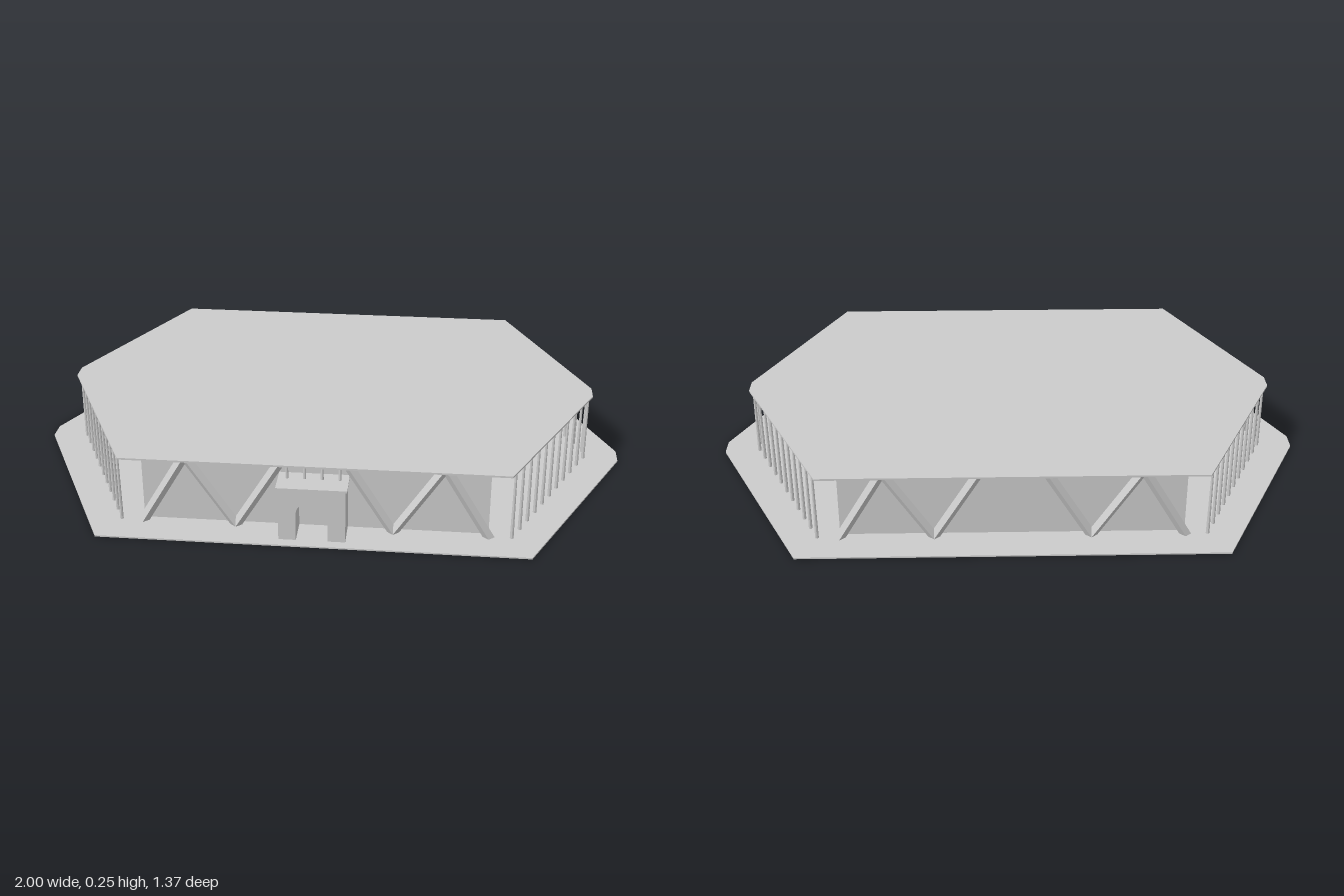
import * as THREE from 'three';

const material = new THREE.MeshStandardMaterial({ color: 0xcccccc, flatShading: true });

function createModel() {
  const model = new THREE.Group();

  const add = (name, geometry, x = 0, y = 0, z = 0, parent = model) => {
    const mesh = new THREE.Mesh(geometry, material);
    mesh.name = name;
    mesh.position.set(x, y, z);
    parent.add(mesh);
    return mesh;
  };
  const box = (name, w, h, d, x, yBottom, z) =>
    add(name, new THREE.BoxGeometry(w, h, d), x, yBottom + h / 2, z);

  // Flat eight-cornered slab: a long hexagon with clipped side tips
  const slab = (name, corner, tipX, tipZ, y, thickness) => {
    const shape = new THREE.Shape([
      [corner, -corner], [tipX, -tipZ], [tipX, tipZ], [corner, corner],
      [-corner, corner], [-tipX, tipZ], [-tipX, -tipZ], [-corner, -corner],
    ].map(([x, z]) => new THREE.Vector2(x, z)));
    const geometry = new THREE.ExtrudeGeometry(shape, { depth: thickness, bevelEnabled: false });
    add(name, geometry.rotateX(-Math.PI / 2), 0, y, 0);
  };

  const floorY = 0.005, roofY = 0.241;
  slab('basePlate', 0.683, 1, 0.033, 0, floorY);
  slab('roof', 0.612, 0.895, 0.03, roofY, 0.006);

  // Inner hall with a thin projecting top edge
  box('hall', 1.1, 0.22, 1.11, 0, floorY, 0);
  box('hallTop', 1.12, 0.006, 1.13, 0, 0.225, 0);

  // Slender tapered columns along the four slanted sides
  const columns = new THREE.Group();
  columns.name = 'columns';
  model.add(columns);
  const columnHeight = roofY - floorY;
  const columnGeometry = new THREE.CylinderGeometry(0.004, 0.006, columnHeight, 8);
  const count = 11;
  for (const sx of [-1, 1]) for (const sz of [-1, 1]) for (let i = 0; i < count; i++) {
    const t = i / (count - 1);
    add('column', columnGeometry,
      sx * THREE.MathUtils.lerp(0.881, 0.622, t), floorY + columnHeight / 2,
      sz * THREE.MathUtils.lerp(0.024, 0.573, t), columns);
  }

  // Slanted diamond-section struts, sheared so that their ends stay level
  const struts = new THREE.Group();
  struts.name = 'struts';
  model.add(struts);
  const strut = (x0, x1, z) => {
    const geometry = new THREE.CylinderGeometry(0.019, 0.019, columnHeight, 4);
    geometry.scale(1, 1, 0.85);
    const p = geometry.attributes.position;
    for (let i = 0; i < p.count; i++) {
      const t = p.getY(i) / columnHeight + 0.5;
      p.setX(i, p.getX(i) + THREE.MathUtils.lerp(x0, x1, t));
    }
    geometry.computeVertexNormals();
    add('strut', geometry, 0, floorY + columnHeight / 2, z, struts);
  };
  for (const z of [-0.575, 0.575]) for (const s of [-1, 1]) {
    strut(s * 0.55, s * 0.41, z);
    strut(s * 0.25, s * 0.405, z);
    strut(s * 0.25, s * 0.105, z);
  }

  // Entrance porch with an arched opening
  const front = new THREE.Shape();
  front.moveTo(-0.105, 0);
  front.lineTo(-0.05, 0);
  front.lineTo(-0.05, 0.09);
  front.absarc(0, 0.09, 0.05, Math.PI, 0, true);
  front.lineTo(0.05, 0);
  front.lineTo(0.105, 0);
  front.lineTo(0.105, 0.183);
  front.lineTo(-0.105, 0.183);
  front.closePath();
  add('porch', new THREE.ExtrudeGeometry(front, { depth: 0.1, bevelEnabled: false, curveSegments: 20 }),
    0, floorY, 0.55);
  box('porchTop', 0.222, 0.006, 0.108, 0, 0.187, 0.604);

  // Short posts between the porch and the roof
  const postGeometry = new THREE.CylinderGeometry(0.004, 0.005, roofY - 0.193, 8);
  for (let i = 0; i < 4; i++) {
    add('porchPost', postGeometry, (i - 1.5) * 0.055, (roofY + 0.193) / 2, 0.59);
  }

  return model;
}

export { createModel };
